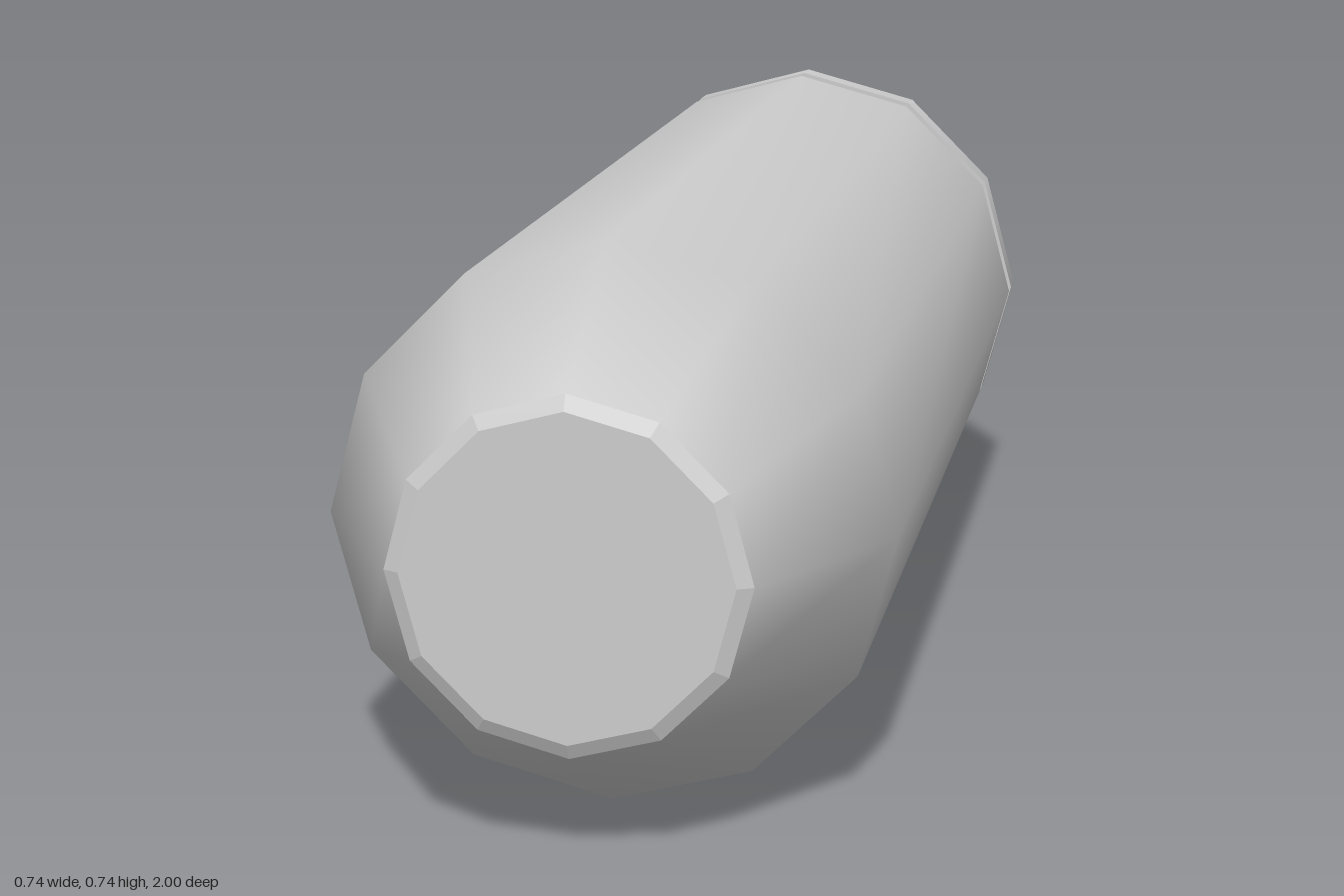
import * as THREE from 'three';

const SIDES = 12;
const CENTER_Y = 0.368;

export function createModel() {
  const group = new THREE.Group();
  const metal = new THREE.MeshStandardMaterial({ color: 0xcccccc });
  metal.name = 'grey metal';

  // Turn a profile of [radius, z] points (back to front) around the long axis
  function turned(name, profile, flat = false) {
    const points = profile.map(([r, z]) => new THREE.Vector2(r, z));
    let geometry = new THREE.LatheGeometry(points, SIDES);
    geometry.rotateX(Math.PI / 2);
    if (flat) {
      geometry = geometry.toNonIndexed();
      geometry.computeVertexNormals();
    }
    const mesh = new THREE.Mesh(geometry, metal);
    mesh.name = name;
    mesh.position.y = CENTER_Y;
    group.add(mesh);
  }

  // Long casing running smoothly into the tapered shoulder
  turned('casing', [[0.368, -0.89], [0.368, 0.74], [0.227, 0.99]]);
  turned('casingBackEdge', [[0.353, -0.89], [0.368, -0.89]]);

  // Bevelled, closed nose
  turned('noseBevel', [[0.227, 0.99], [0.207, 1]], true);
  turned('noseCap', [[0.207, 1], [0, 1]]);

  // Extractor groove and rim
  turned('groove', [[0.353, -0.93], [0.353, -0.89]]);
  turned('rimFrontEdge', [[0.368, -0.93], [0.353, -0.93]]);
  turned('rim', [[0.368, -0.98], [0.368, -0.93]]);
  turned('base', [[0, -0.98], [0.368, -0.98]]);

  // Raised primer button on the base
  turned('primerBevel', [[0.083, -1], [0.105, -0.98]], true);
  turned('primerCap', [[0, -1], [0.083, -1]]);

  return group;
}
